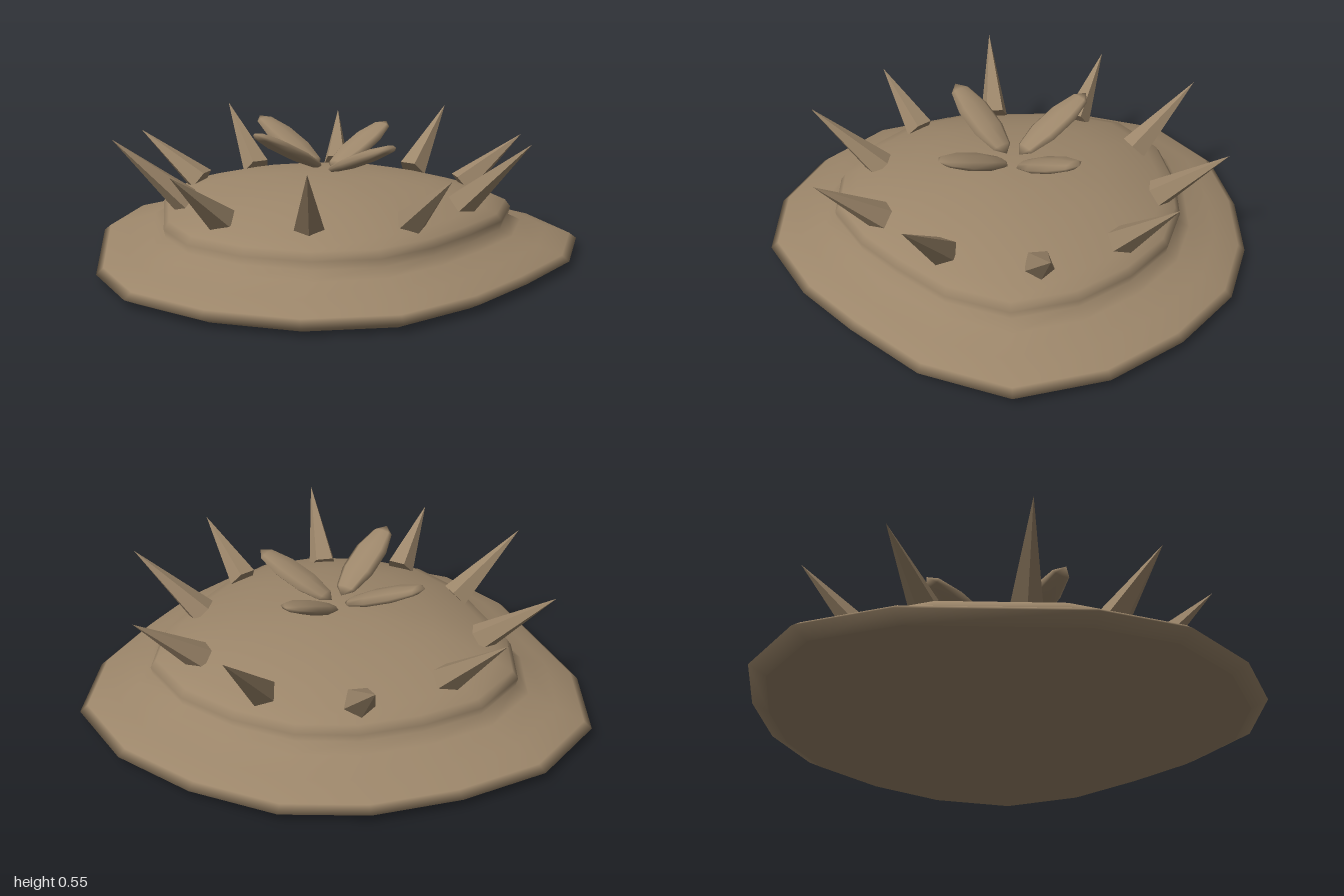
import * as THREE from 'three';

// Plan of the rim (x, z), clockwise from the left side
const OUTLINE = [
  [-1, -0.37], [-0.88, -0.72], [-0.58, -0.93], [-0.23, -0.99], [0.11, -0.98], [0.42, -0.88],
  [0.69, -0.66], [0.9, -0.38], [1, -0.03], [0.87, 0.31], [0.63, 0.58], [0.41, 0.79],
  [0.11, 0.97], [-0.24, 0.98], [-0.57, 0.85], [-0.84, 0.62], [-0.97, 0.3],
];
const CX = -0.05;

// Section of the body: [scale of the outline, height]
const PROFILE = [
  [0.935, 0], [1, 0.032], [0.97, 0.056], [0.87, 0.088], [0.765, 0.12], [0.715, 0.147],
  [0.722, 0.18], [0.7, 0.21], [0.64, 0.236], [0.54, 0.268], [0.4, 0.304], [0.2, 0.329],
];

// Spikes: base x, z, then tip x, z; tall and short ones alternate
const SPIKES = [
  [-0.33, -0.55, -0.45, -0.8], [0.035, -0.61, 0.07, -0.88], [0.36, -0.44, 0.54, -0.63],
  [0.52, -0.125, 0.78, -0.16], [0.44, 0.235, 0.69, 0.36], [0.205, 0.49, 0.31, 0.73],
  [-0.173, 0.53, -0.2, 0.81], [-0.49, 0.39, -0.67, 0.56], [-0.625, 0.063, -0.91, 0.09],
  [-0.575, -0.305, -0.83, -0.43],
];

// Petals: inner end, outer end
const PETALS = [
  [[-0.09, 0.365, -0.05], [-0.32, 0.53, -0.33]],
  [[-0.04, 0.35, -0.05], [0.22, 0.505, -0.28]],
  [[-0.09, 0.37, 0.0], [-0.36, 0.55, 0.22]],
  [[-0.05, 0.355, 0.0], [0.18, 0.495, 0.26]],
];

// Smooth shell made of scaled outlines, closed at the crown
function bodyGeometry() {
  const n = OUTLINE.length, pos = [], index = [];
  for (const [s, y] of PROFILE)
    for (const [x, z] of OUTLINE) pos.push(CX + (x - CX) * s, y, z * s);
  for (let i = 0; i < PROFILE.length; i++)
    for (let j = 0; j < n; j++) {
      const k = (j + 1) % n, a = i * n + j, b = i * n + k;
      if (i < PROFILE.length - 1) index.push(a, a + n, b, b, a + n, b + n);
      else index.push(a, PROFILE.length * n, b);
    }
  pos.push(CX, 0.337, 0);
  return finish(pos, index);
}

// Flat closing face underneath
function undersideGeometry() {
  const n = OUTLINE.length, s = PROFILE[0][0], pos = [], index = [];
  for (const [x, z] of OUTLINE) pos.push(CX + (x - CX) * s, 0, z * s);
  pos.push(CX, 0, 0);
  for (let j = 0; j < n; j++) index.push(n, j, (j + 1) % n);
  return finish(pos, index);
}

function finish(pos, index) {
  const g = new THREE.BufferGeometry();
  g.setAttribute('position', new THREE.Float32BufferAttribute(pos, 3));
  g.setIndex(index);
  g.computeVertexNormals();
  return g;
}

// Orient a mesh so its local y runs from a to b, with local x level
function aim(mesh, a, b) {
  const y = b.clone().sub(a).normalize();
  const x = new THREE.Vector3(0, 1, 0).cross(y).normalize();
  const z = x.clone().cross(y);
  mesh.quaternion.setFromRotationMatrix(new THREE.Matrix4().makeBasis(x, y, z));
  mesh.position.copy(a).add(b).multiplyScalar(0.5);
}

export function createModel() {
  const model = new THREE.Group();
  const shell = new THREE.MeshStandardMaterial({ color: 0x9c866a });
  shell.name = 'brown shell';
  const add = (name, geometry, parent = model) => {
    // Hard facets come from split vertices, so one material serves all parts
    const mesh = new THREE.Mesh(geometry, shell);
    mesh.name = name;
    parent.add(mesh);
    return mesh;
  };

  add('body', bodyGeometry());
  add('underside', undersideGeometry());

  // Ring of faceted spikes leaning outward
  const spikes = new THREE.Group();
  spikes.name = 'spikes';
  model.add(spikes);
  SPIKES.forEach(([bx, bz, tx, tz], i) => {
    const a = new THREE.Vector3(bx, 0.255, bz);
    const b = new THREE.Vector3(tx, i % 2 ? 0.46 : 0.515, tz);
    const g = new THREE.ConeGeometry(0.062, a.distanceTo(b), 5).toNonIndexed();
    g.computeVertexNormals();
    aim(add('spike', g, spikes), a, b);
  });

  // Four flattened leaf-like petals at the crown
  const petals = new THREE.Group();
  petals.name = 'petals';
  model.add(petals);
  for (const [p, q] of PETALS) {
    const a = new THREE.Vector3(...p), b = new THREE.Vector3(...q);
    const g = new THREE.SphereGeometry(1, 8, 5);
    g.scale(0.075, a.distanceTo(b) / 2, 0.027);
    aim(add('petal', g, petals), a, b);
  }
  return model;
}
